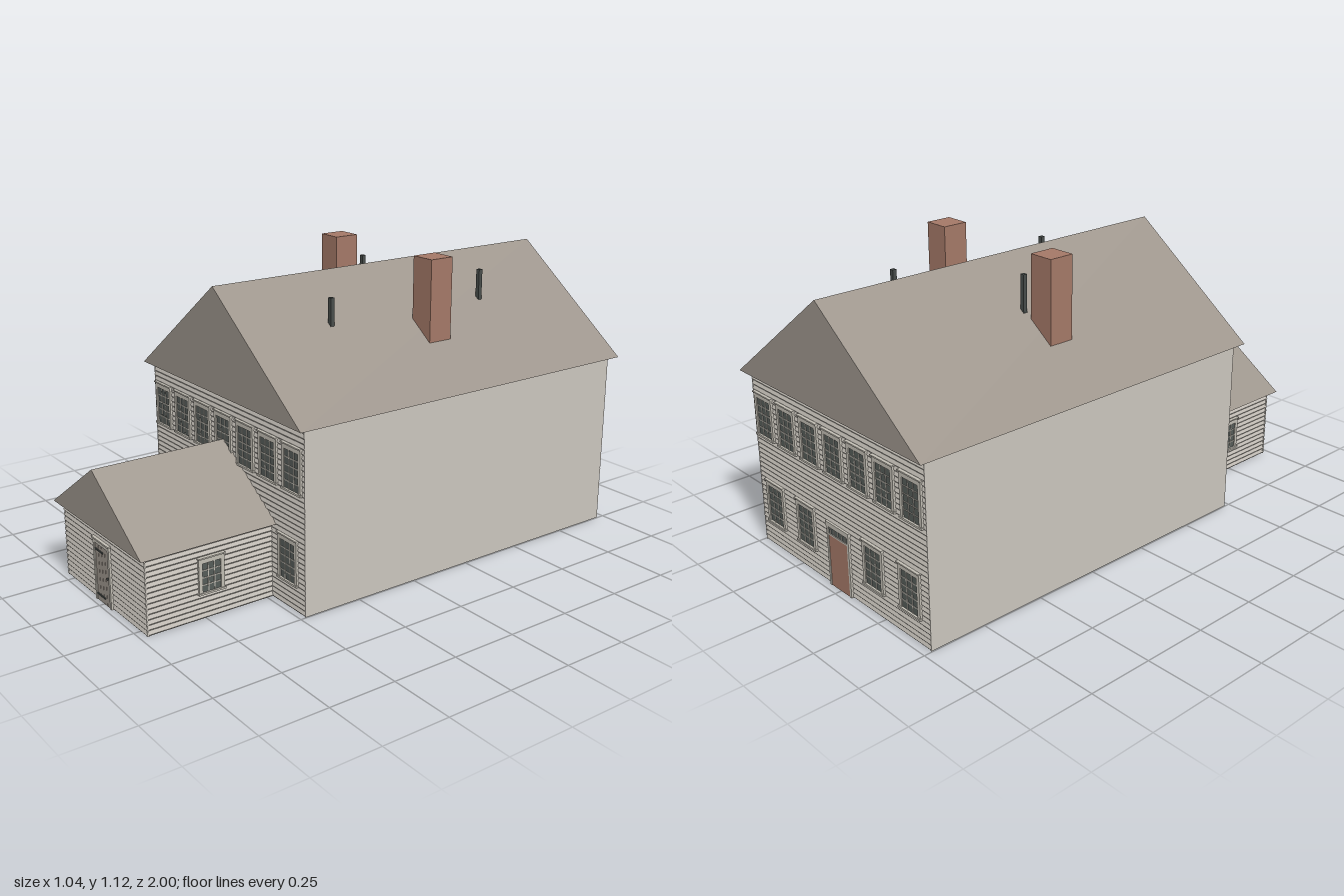
import * as THREE from 'three';

const mat = (name, color) => {
  const m = new THREE.MeshStandardMaterial({ color });
  m.name = name;
  return m;
};

export function createModel() {
  const wall = mat('cream siding', 0xcac5bd);
  const trim = mat('window trim', 0xc1bdb3);
  const roofM = mat('roof taupe', 0x9c948b);
  const brick = mat('brick', 0xa37867);
  const glass = mat('dark glass', 0x555b58);
  const iron = mat('dark iron', 0x474c4a);
  const house = new THREE.Group();
  house.name = 'house';

  const group = (name, parent = house) => {
    const g = new THREE.Group();
    g.name = name;
    parent.add(g);
    return g;
  };
  // box from its min and max corners
  const box = (parent, name, m, x0, x1, y0, y1, z0, z1) => {
    const mesh = new THREE.Mesh(new THREE.BoxGeometry(x1 - x0, y1 - y0, z1 - z0), m);
    mesh.position.set((x0 + x1) / 2, (y0 + y1) / 2, (z0 + z1) / 2);
    mesh.name = name;
    parent.add(mesh);
    return mesh;
  };

  // clapboard wall: sawtooth profile run along its width, outer face at local z = 0
  const siding = (name, width, height, boards) => {
    const s = new THREE.Shape();
    const h = height / boards;
    s.moveTo(-0.008, 0);
    for (let i = 0; i < boards; i++) {
      s.lineTo(-0.004, i * h);
      s.lineTo(0, i * h + h * 0.28);
    }
    s.lineTo(-0.004, height);
    s.lineTo(-0.008, height);
    s.closePath();
    const geo = new THREE.ExtrudeGeometry(s, { depth: width, bevelEnabled: false });
    geo.rotateY(-Math.PI / 2); // profile x becomes z, run becomes -x
    geo.translate(width / 2, 0, 0);
    const mesh = new THREE.Mesh(geo, wall);
    mesh.name = name;
    return mesh;
  };

  // solid gable roof
  const roof = (name, half, y0, y1, z0, z1) => {
    const s = new THREE.Shape();
    s.moveTo(-half, y0);
    s.lineTo(half, y0);
    s.lineTo(0, y1);
    s.closePath();
    const mesh = new THREE.Mesh(new THREE.ExtrudeGeometry(s, { depth: z1 - z0, bevelEnabled: false }), roofM);
    mesh.position.z = z0;
    mesh.name = name;
    house.add(mesh);
  };

  // sash window centred on x, standing on y, facing local +z
  const sash = (parent, x, y, w, h, cols, rows) => {
    const g = group('window', parent);
    g.position.set(x, y, 0);
    const a = w / 2;
    const side = 0.014;
    const top = h - 0.022;
    const low = 0.007;
    box(g, 'glass', glass, -a + side, a - side, low, top, -0.004, 0.002);
    for (const d of [-1, 1]) {
      const c = d * (a - side / 2);
      box(g, 'jamb', trim, c - side / 2, c + side / 2, 0, h, -0.004, 0.006);
    }
    box(g, 'head', trim, -a + side, a - side, top, h, -0.004, 0.006);
    box(g, 'cap', trim, -a - 0.003, a + 0.003, h - 0.005, h, -0.004, 0.01);
    box(g, 'sill', trim, -a - 0.003, a + 0.003, 0, low, -0.004, 0.01);
    const gw = w - 2 * side;
    for (let i = 1; i < cols; i++) {
      const c = -gw / 2 + gw * i / cols;
      box(g, 'muntin', trim, c - 0.0017, c + 0.0017, low, top, 0, 0.004);
    }
    for (let i = 1; i < rows; i++) {
      const c = low + (top - low) * i / rows;
      box(g, 'rail', trim, -gw / 2, gw / 2, c - 0.0017, c + 0.0017, 0, 0.004);
    }
  };

  // main front and back faces
  const face = (name, z, turn, lowerX) => {
    const g = group(name);
    g.position.z = z;
    g.rotation.y = turn;
    g.add(siding('mainSiding', 0.994, 0.675, 36));
    for (let i = -3; i <= 3; i++) sash(g, i * 0.1423, 0.434, 0.11, 0.169, 3, 5);
    for (const x of lowerX) sash(g, x, 0.096, 0.113, 0.171, 3, 5);
    return g;
  };
  face('mainFront', 0.48, 0, [-0.398, 0.398]);
  const back = face('mainBack', -0.97, Math.PI, [-0.398, -0.2, 0.2, 0.398]);

  // plain side walls
  for (const d of [-1, 1]) {
    const c = d * 0.495;
    box(house, 'mainSideWall', wall, c - 0.002, c + 0.002, 0, 0.675, -0.969, 0.479);
  }
  roof('mainRoof', 0.522, 0.675, 1.062, -1, 0.51);

  // back door with a glazed transom
  const backDoor = group('backDoor', back);
  box(backDoor, 'door', brick, -0.055, 0.055, 0, 0.2, -0.004, 0.004);
  box(backDoor, 'transom', glass, -0.055, 0.055, 0.206, 0.232, -0.004, 0.003);
  box(backDoor, 'transomBar', trim, -0.055, 0.055, 0.2, 0.206, -0.004, 0.006);
  box(backDoor, 'lintel', trim, -0.068, 0.068, 0.232, 0.25, -0.004, 0.008);
  for (const d of [-1, 1]) box(backDoor, 'jamb', trim, d * 0.06 - 0.005, d * 0.06 + 0.005, 0, 0.232, -0.004, 0.006);
  for (let i = -2; i <= 2; i++) box(backDoor, 'transomMuntin', trim, i * 0.022 - 0.0015, i * 0.022 + 0.0015, 0.206, 0.232, 0, 0.005);

  // front extension
  const porch = group('extensionFront');
  porch.position.z = 0.977;
  porch.add(siding('extensionSiding', 0.6, 0.285, 15));
  for (const d of [-1, 1]) {
    const g = group('extensionSide');
    g.position.set(d * 0.3, 0, 0.727);
    g.rotation.y = d * Math.PI / 2;
    g.add(siding('extensionSiding', 0.496, 0.285, 15));
    sash(g, 0, 0.093, 0.1, 0.135, 3, 4);
  }
  roof('extensionRoof', 0.327, 0.284, 0.502, 0.44, 1);

  // plank front door
  const door = group('frontDoor', porch);
  for (let i = 0; i < 4; i++) {
    const x = -0.047 + i * 0.0235;
    box(door, 'plank', roofM, x + 0.0008, x + 0.0227, 0, 0.218, -0.004, 0.003);
  }
  box(door, 'doorGap', iron, -0.047, 0.047, 0, 0.218, -0.004, 0.001);
  for (const d of [-1, 1]) box(door, 'jamb', trim, d * 0.053 - 0.006, d * 0.053 + 0.006, 0, 0.218, -0.004, 0.006);
  box(door, 'head', trim, -0.059, 0.059, 0.218, 0.232, -0.004, 0.006);
  box(door, 'cap', trim, -0.063, 0.063, 0.232, 0.238, -0.004, 0.01);
  for (const y of [0.025, 0.195]) box(door, 'strapHinge', iron, -0.051, 0.012, y - 0.003, y + 0.003, 0, 0.006);
  box(door, 'handle', iron, 0.037, 0.042, 0.107, 0.114, 0, 0.008);

  // chimneys and vent pipes
  for (const d of [-1, 1]) box(house, 'chimney', brick, d * 0.28 - 0.049, d * 0.28 + 0.049, 0.8, 1.122, -0.295, -0.196);
  for (const [x, z, top] of [[-0.2, -0.3, 1.045], [0.2, -0.55, 1.024], [0.2, 0.15, 1.01]]) {
    box(house, 'ventPipe', iron, x - 0.008, x + 0.008, 0.88, top, z - 0.008, z + 0.008);
  }
  return house;
}
